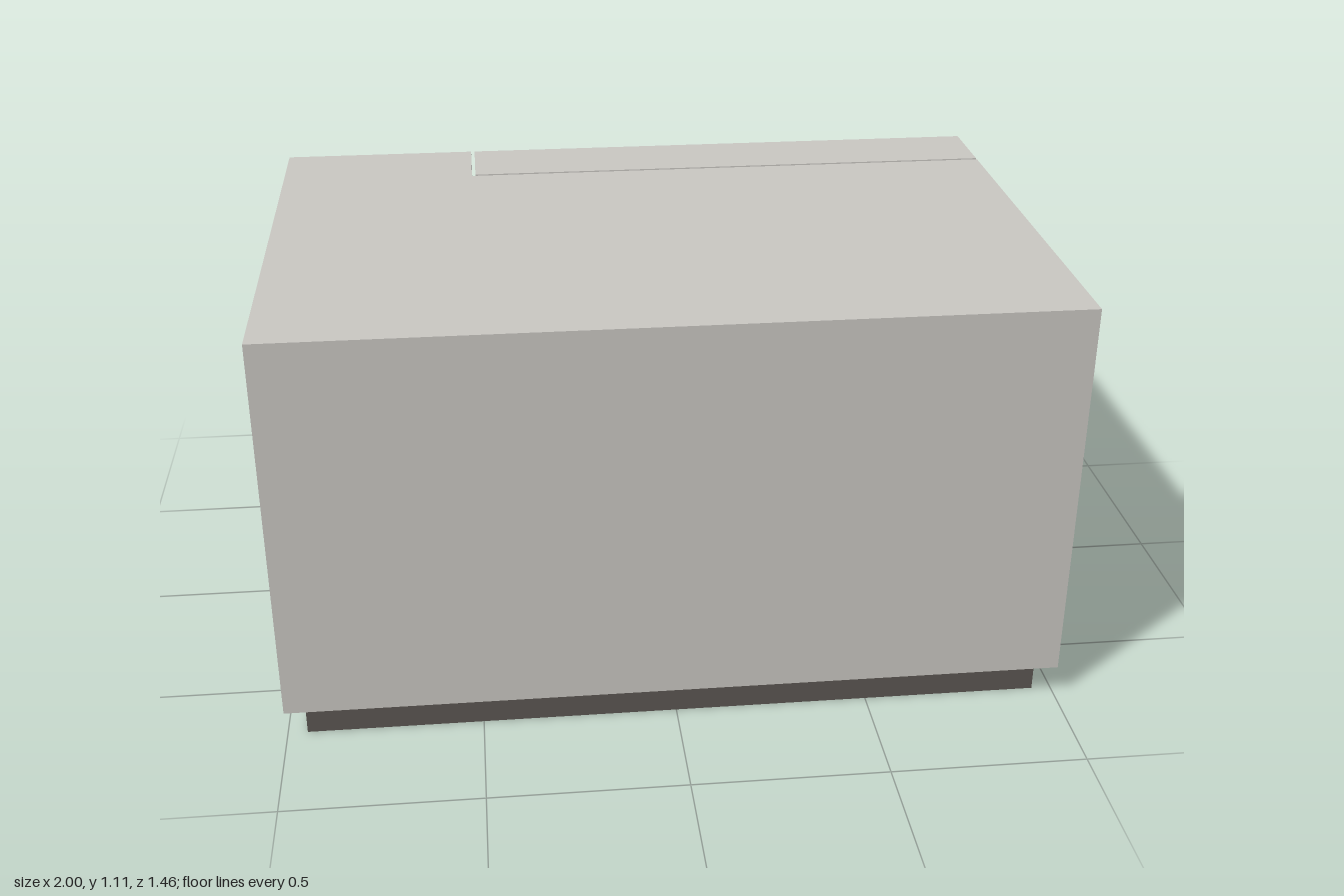
import * as THREE from 'three';

const shell = new THREE.MeshStandardMaterial({ color: 0xc9c7c2, side: THREE.DoubleSide });
shell.name = 'casing grey';
const dark = new THREE.MeshStandardMaterial({ color: 0x5c5752, side: THREE.DoubleSide });
dark.name = 'dark trim';
const green = new THREE.MeshStandardMaterial({ color: 0x78aa3f });
green.name = 'green';
const red = new THREE.MeshStandardMaterial({ color: 0xc24f55 });
red.name = 'red';

const shapeOf = (points) => new THREE.Shape(points.map(([x, y]) => new THREE.Vector2(x, y)));

function rect(x0, y0, x1, y1) {
  return [[x0, y0], [x1, y0], [x1, y1], [x0, y1]];
}

// Upright sheet walls along a closed [x, z] outline
function walls(outline, y0, y1) {
  const pos = [];
  outline.forEach(([ax, az], i) => {
    const [bx, bz] = outline[(i + 1) % outline.length];
    pos.push(ax, y0, az, bx, y0, bz, bx, y1, bz, ax, y0, az, bx, y1, bz, ax, y1, az);
  });
  const g = new THREE.BufferGeometry();
  g.setAttribute('position', new THREE.Float32BufferAttribute(pos, 3));
  g.computeVertexNormals();
  return g;
}

// Level sheet from an [x, z] outline
function sheet(outline, y) {
  return new THREE.ShapeGeometry(shapeOf(outline)).rotateX(Math.PI / 2).translate(0, y, 0);
}

function boxBetween(x0, x1, y0, y1, z0, z1) {
  return new THREE.BoxGeometry(x1 - x0, y1 - y0, z1 - z0)
    .translate((x0 + x1) / 2, (y0 + y1) / 2, (z0 + z1) / 2);
}

export function createModel() {
  const model = new THREE.Group();
  model.name = 'microwave';
  const add = (name, geometry, material, parent = model) => {
    const mesh = new THREE.Mesh(geometry, material);
    mesh.name = name;
    parent.add(mesh);
    return mesh;
  };

  // Hollow L-shaped casing, wrapping around the door
  const casing = new THREE.Group();
  casing.name = 'casing';
  model.add(casing);
  const footprint = [[-1, 0.73], [1, 0.73], [1, -0.38], [-0.47, -0.38], [-0.47, -0.6], [-1, -0.6]];
  add('casingWalls', walls(footprint, 0.09, 1.11), shell, casing);
  add('casingTop', sheet(footprint, 1.11), shell, casing);
  // Underside border, open inside the base
  add('casingUnderside', sheet([
    [-1, -0.6], [-0.47, -0.6], [-0.47, -0.51], [-0.95, -0.51], [-0.95, 0.69],
    [0.95, 0.69], [0.95, -0.38], [1, -0.38], [1, 0.73], [-1, 0.73],
  ], 0.09), shell, casing);

  // Open skirt that the casing stands on
  add('base', walls([[-0.95, 0.69], [0.95, 0.69], [0.95, -0.51], [-0.95, -0.51]], 0, 0.09), dark);

  // Door frame with a recessed window
  const door = new THREE.Group();
  door.name = 'door';
  model.add(door);
  const frame = shapeOf(rect(-0.46, 0.1, 1, 1.11));
  frame.holes.push(shapeOf(rect(-0.16, 0.24, 0.85, 0.95)));
  add('doorFrame', new THREE.ExtrudeGeometry(frame, { depth: 0.21, bevelEnabled: false })
    .translate(0, 0, -0.6), shell, door);
  add('window', new THREE.PlaneGeometry(1.01, 0.71).rotateY(Math.PI)
    .translate(0.345, 0.595, -0.55), dark, door);

  // Bracket handle, drawn in profile as [distance out, height]
  const handle = shapeOf([
    [0.6, 0.29], [0.727, 0.34], [0.727, 0.88], [0.6, 0.935],
    [0.6, 0.85], [0.677, 0.81], [0.677, 0.41], [0.6, 0.37],
  ]);
  add('handle', new THREE.ExtrudeGeometry(handle, { depth: 0.085, bevelEnabled: false })
    .rotateY(Math.PI / 2).translate(-0.363, 0, 0), dark, door);

  // Two push buttons on backing plates
  for (const [name, y, material] of [['startButton', 0.685, green], ['stopButton', 0.225, red]]) {
    add(name + 'Plate', boxBetween(-0.89, -0.58, y, y + 0.265, -0.623, -0.6), dark);
    add(name, boxBetween(-0.868, -0.602, y + 0.023, y + 0.243, -0.67, -0.623), material);
  }

  return model;
}
